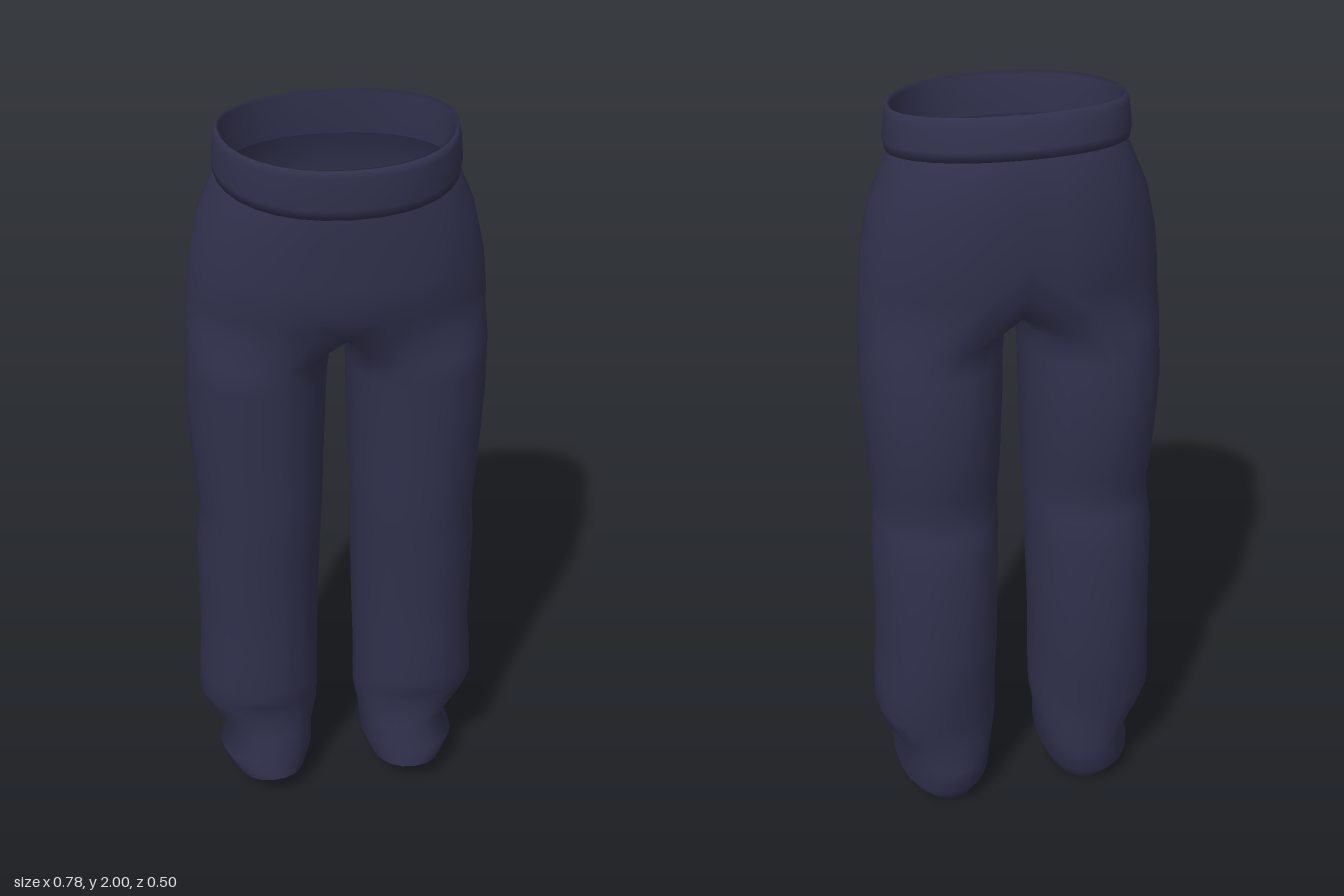
import * as THREE from 'three';
import { mergeGeometries, mergeVertices } from 'three/addons/utils/BufferGeometryUtils.js';

const OUT = 15; // points on the outer arc, front seam to back seam
const INN = 7;  // points on the inner leg between the seams
const N = OUT + INN;

// Hip rows: height, half width, front z, back z, seam z at the back, tilt
const HIPS = [
  [1.89, 0.282, 0.215, -0.195, -0.19, -0.13],
  [1.845, 0.305, 0.22, -0.225, -0.215, -0.08],
  [1.76, 0.342, 0.22, -0.243, -0.235, -0.03],
  [1.65, 0.367, 0.22, -0.248, -0.238, 0],
  [1.56, 0.377, 0.215, -0.243, -0.225, 0],
  [1.49, 0.381, 0.19, -0.233, -0.18, 0],
];

// Leg rows: height, inner x, outer x, front z, back z, tilt
const LEGS = [
  [1.42, 0.017, 0.384, 0.18, -0.212, 0],
  [1.35, 0.026, 0.385, 0.177, -0.223, 0],
  [1.25, 0.029, 0.387, 0.173, -0.238, 0],
  [1.14, 0.033, 0.382, 0.168, -0.235, 0],
  [1.02, 0.037, 0.374, 0.163, -0.228, 0],
  [0.95, 0.04, 0.367, 0.16, -0.207, 0],
  [0.89, 0.042, 0.367, 0.157, -0.222, 0],
  [0.81, 0.044, 0.376, 0.15, -0.242, 0],
  [0.66, 0.048, 0.375, 0.141, -0.246, 0],
  [0.51, 0.052, 0.376, 0.132, -0.25, 0],
  [0.38, 0.055, 0.383, 0.138, -0.235, 0],
  [0.31, 0.055, 0.388, 0.122, -0.225, 0.1],
  [0.255, 0.056, 0.365, 0.108, -0.214, 0.2],
  [0.18, 0.072, 0.308, 0.118, -0.22, 0.25],
  [0.105, 0.075, 0.335, 0.138, -0.215, 0.25],
  [0.043, 0.1, 0.3, 0.142, -0.175, 0.25],
];

const power = (v, p) => Math.sign(v) * Math.abs(v) ** p;
const lerp = THREE.MathUtils.lerp;

function hipRing([y, w, zf, zb, seam, tilt]) {
  const pts = [];
  for (let i = 0; i < OUT; i++) {
    const a = Math.PI / 2 - (Math.PI * i) / (OUT - 1);
    const s = Math.sin(a), mid = -0.02;
    let z = mid + power(s, 0.93) * (s > 0 ? zf - mid : mid - zb);
    const x = i === 0 || i === OUT - 1 ? 0 : w * power(Math.cos(a), 0.93);
    if (i === OUT - 1) z = seam;
    pts.push([x, y + tilt * z, z]);
  }
  return pts;
}

function legRing([y, xi, xo, zf, zb, tilt]) {
  const pts = [], open = 2.15;
  const cx = (xi + xo) / 2, rx = (xo - xi) / 2, cz = (zf + zb) / 2, rz = (zf - zb) / 2;
  for (let i = 0; i < N; i++) {
    const a = i < OUT
      ? lerp(open, -open, i / (OUT - 1))
      : lerp(-open, open - 2 * Math.PI, (i - OUT + 1) / (INN + 1));
    const z = cz + rz * power(Math.sin(a), 0.9);
    pts.push([cx + rx * power(Math.cos(a), 0.9), y + tilt * z, z]);
  }
  return pts;
}

// One half of the garment; side is 1 for the left and -1 for the right
function halfGeometry(side) {
  const pos = [], index = [];
  const put = (ring) => {
    const start = pos.length / 3;
    ring.forEach(([x, y, z]) => pos.push(side * x, y, z));
    return start;
  };
  const strip = (a, b, count, total) => {
    for (let i = 0; i < count; i++) {
      const j = (i + 1) % total;
      const q = [a + i, b + i, a + j, a + j, b + i, b + j];
      index.push(...(side > 0 ? q.reverse() : q));
    }
  };
  let last = -1;
  HIPS.forEach((row, k) => {
    const ring = hipRing(row);
    if (k === HIPS.length - 1) {
      // Lower the seam ends and add the crotch curve between them
      ring[0] = [0, 1.485, 0.165];
      ring[OUT - 1] = [0, 1.485, -0.18];
      for (let i = 1; i <= INN; i++) {
        const t = i / (INN + 1);
        ring.push([0, 1.485 - 0.04 * Math.sin(Math.PI * t), lerp(-0.18, 0.165, t)]);
      }
    }
    const start = put(ring);
    if (last >= 0) strip(last, start, OUT - 1, N);
    last = start;
  });
  LEGS.forEach((row) => {
    const start = put(legRing(row));
    strip(last, start, N, N);
    last = start;
  });
  const g = new THREE.BufferGeometry();
  g.setAttribute('position', new THREE.Float32BufferAttribute(pos, 3));
  g.setIndex(index);
  return g;
}

// Folded band: half width, front z, back z, height at z = 0, tilt
function waistbandGeometry() {
  const rows = [
    [0.283, 0.205, -0.185, 1.885, -0.13],
    [0.298, 0.246, -0.212, 1.876, -0.13],
    [0.302, 0.25, -0.208, 1.9, -0.13],
    [0.296, 0.25, -0.192, 1.965, -0.08],
    [0.289, 0.245, -0.178, 1.985, -0.085],
    [0.28, 0.225, -0.168, 1.978, -0.085],
    [0.279, 0.215, -0.175, 1.87, -0.1],
  ];
  const pos = [], index = [], n = 32;
  rows.forEach(([w, zf, zb, y, tilt], r) => {
    for (let i = 0; i < n; i++) {
      const a = (i / n) * Math.PI * 2, s = Math.sin(a), mid = -0.01;
      const z = mid + power(s, 0.95) * (s > 0 ? zf - mid : mid - zb);
      pos.push(w * power(Math.cos(a), 0.92), y + tilt * z, z);
      if (r) {
        const j = (i + 1) % n, p = (r - 1) * n, q = r * n;
        index.push(p + i, q + i, p + j, p + j, q + i, q + j);
      }
    }
  });
  const g = new THREE.BufferGeometry();
  g.setAttribute('position', new THREE.Float32BufferAttribute(pos, 3));
  g.setIndex(index);
  g.computeVertexNormals();
  return g;
}

export function createModel() {
  const group = new THREE.Group();
  group.name = 'trousers';
  const navyCloth = new THREE.MeshStandardMaterial({ color: 0x30304c, side: THREE.DoubleSide });
  navyCloth.name = 'navyCloth';

  // Both halves share their centre seam, so the shading runs across it
  const body = mergeVertices(mergeGeometries([halfGeometry(1), halfGeometry(-1)]), 1e-4);
  body.computeVertexNormals();
  const hipsAndLegs = new THREE.Mesh(body, navyCloth);
  hipsAndLegs.name = 'hipsAndLegs';

  const waistband = new THREE.Mesh(waistbandGeometry(), navyCloth);
  waistband.name = 'waistband';

  group.add(hipsAndLegs, waistband);
  return group;
}
